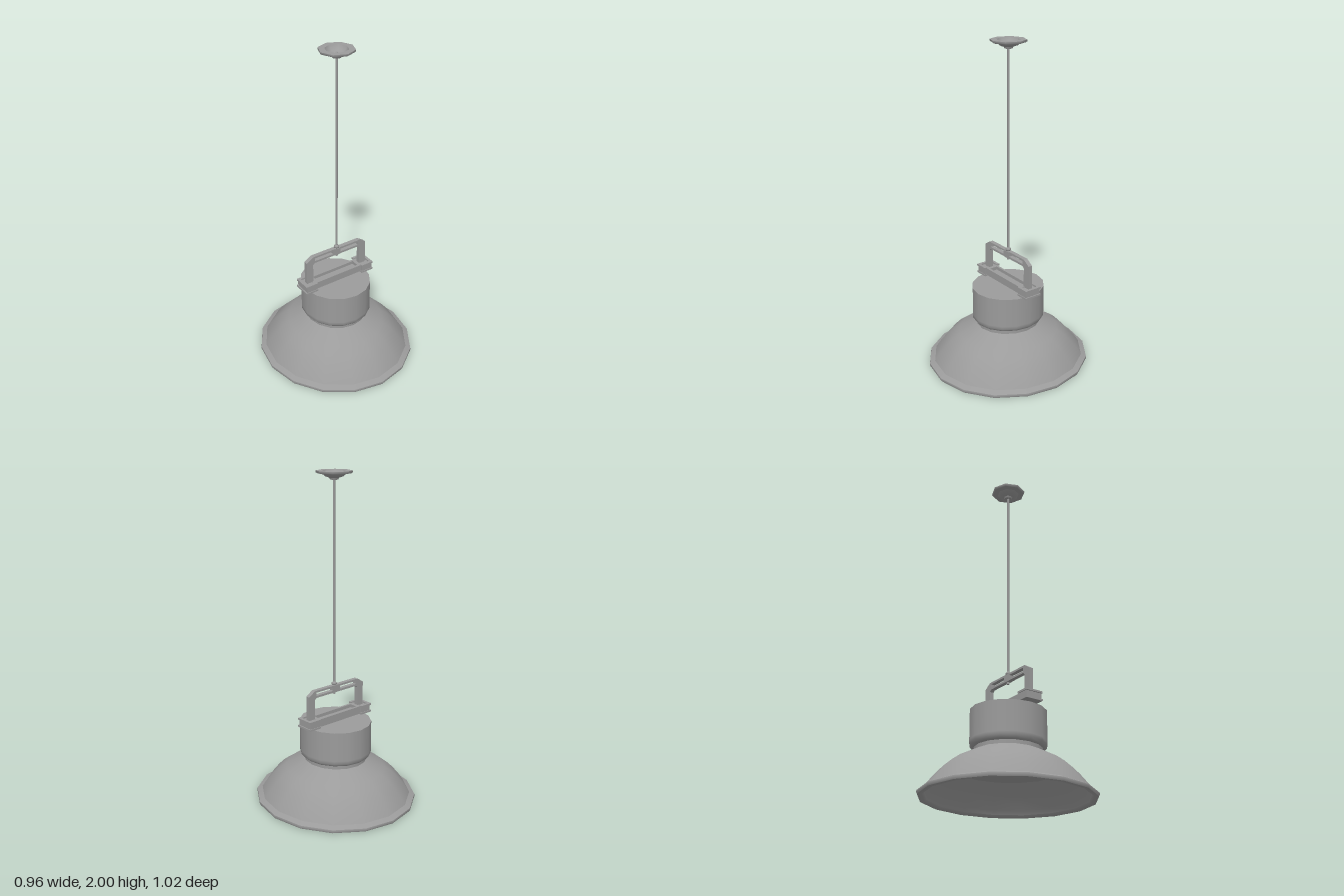
import * as THREE from 'three';

const darkGrey = new THREE.MeshStandardMaterial({ color: 0x9b9b9b });

export function createModel() {
  const model = new THREE.Group();
  model.name = 'pendantLamp';

  const add = (name, geometry, parent = model) => {
    const mesh = new THREE.Mesh(geometry, darkGrey);
    mesh.name = name;
    parent.add(mesh);
    return mesh;
  };
  const group = (name) => {
    const g = new THREE.Group();
    g.name = name;
    model.add(g);
    return g;
  };
  // Each run of [radius, height] points is smooth; runs meet at sharp edges
  const turned = (name, sides, runs, parent) => runs.forEach((run, i) =>
    add(name + (i + 1), new THREE.LatheGeometry(run.map(([r, y]) => new THREE.Vector2(r, y)), sides), parent));
  const box = (name, x0, x1, y0, y1, z0, z1, parent) => {
    const mesh = add(name, new THREE.BoxGeometry(x1 - x0, y1 - y0, z1 - z0), parent);
    mesh.position.set((x0 + x1) / 2, (y0 + y1) / 2, (z0 + z1) / 2);
  };
  const span = (s, a, b) => (s > 0 ? [a, b] : [-b, -a]);

  // Slightly oval shade, housing and reflector
  const body = group('shadeAndHousing');
  body.scale.x = 0.945;
  turned('reflector', 16, [
    [[0, 0.19], [0.16, 0.186], [0.322, 0.17]],
    [[0.322, 0.17], [0.4, 0.1], [0.455, 0.035], [0.47, 0.012]],
  ], body);
  turned('rim', 16, [
    [[0.47, 0.012], [0.48, 0], [0.505, 0]],
    [[0.505, 0], [0.51, 0.01], [0.508, 0.02]],
    [[0.508, 0.02], [0.475, 0.034]],
  ], body);
  turned('shade', 16, [
    [[0.475, 0.034], [0.447, 0.075], [0.405, 0.125], [0.365, 0.165], [0.315, 0.2], [0.2, 0.258]],
  ], body);
  turned('neck', 16, [[[0.2, 0.258], [0.2, 0.28]]], body);
  turned('housing', 16, [
    [[0.2, 0.28], [0.212, 0.284], [0.226, 0.3], [0.226, 0.32], [0.226, 0.5]],
    [[0.226, 0.5], [0, 0.5]],
  ], body);

  // Grooved crossbeam on top of the housing
  const beam = group('crossbeam');
  box('web', -0.18, 0.18, 0.5, 0.535, -0.028, 0.028, beam);
  for (const s of [-1, 1]) {
    box('rail', -0.18, 0.18, 0.51, 0.555, ...span(s, 0.025, 0.04), beam);
    box('railEnd', ...span(s, 0.15, 0.18), 0.51, 0.555, -0.025, 0.025, beam);
  }

  // End blocks, each with a raised lip open towards the beam
  for (const s of [-1, 1]) {
    const block = group(s > 0 ? 'leftEndBlock' : 'rightEndBlock');
    box('lowerFlange', ...span(s, 0.165, 0.248), 0.505, 0.516, -0.056, 0.056, block);
    box('core', ...span(s, 0.168, 0.241), 0.516, 0.552, -0.052, 0.052, block);
    box('endLip', ...span(s, 0.23, 0.248), 0.55, 0.561, -0.056, 0.056, block);
    for (const t of [-1, 1]) {
      box('sideLip', ...span(s, 0.165, 0.23), 0.55, 0.561, ...span(t, 0.039, 0.056), block);
    }
  }

  // Carrying bracket with chamfered corners and slotted top bar
  const poly = (points, Type) => new Type(points.map(([x, y]) => new THREE.Vector2(x, y)));
  const outline = [[0.217, 0.55], [0.217, 0.7], [0.172, 0.729], [-0.172, 0.729], [-0.217, 0.7], [-0.217, 0.55],
    [-0.172, 0.55], [-0.172, 0.673], [-0.16, 0.684], [0.16, 0.684], [0.172, 0.673], [0.172, 0.55]];
  const arch = poly(outline, THREE.Shape);
  for (const s of [-1, 1]) {
    arch.holes.push(poly([[s * 0.025, 0.697], [s * 0.16, 0.697], [s * 0.16, 0.717], [s * 0.025, 0.717]], THREE.Path));
  }
  const archGeometry = new THREE.ExtrudeGeometry(arch, { depth: 0.026, bevelEnabled: false });
  archGeometry.translate(0, 0, -0.012);
  add('bracket', archGeometry);

  // Hanger bolt, cord and ceiling cup share an axis slightly off centre
  const hanger = group('hanger');
  hanger.position.set(0.007, 0, 0.003);
  box('hub', -0.02, 0.02, 0.684, 0.727, -0.014, 0.014, hanger);
  turned('bolt', 8, [
    [[0, 0.672], [0.009, 0.672]],
    [[0.009, 0.672], [0.009, 0.684]],
    [[0.009, 0.727], [0.016, 0.733], [0.016, 0.742], [0.007, 0.75]],
  ], hanger);
  const cord = add('cord', new THREE.CylinderGeometry(0.007, 0.007, 1.24, 8), hanger);
  cord.position.y = 1.36;
  turned('ceilingCup', 8, [
    [[0, 1.95], [0.024, 1.95]],
    [[0.024, 1.95], [0.028, 1.96]],
    [[0.028, 1.96], [0.052, 1.967], [0.068, 1.983]],
    [[0.068, 1.983], [0.098, 1.985]],
    [[0.098, 1.985], [0.105, 1.99], [0.105, 2]],
    [[0.105, 2], [0.068, 2]],
    [[0.068, 2], [0.06, 1.985], [0.046, 1.974], [0.026, 1.965]],
    [[0.026, 1.965], [0, 1.965]],
  ], hanger);

  return model;
}
